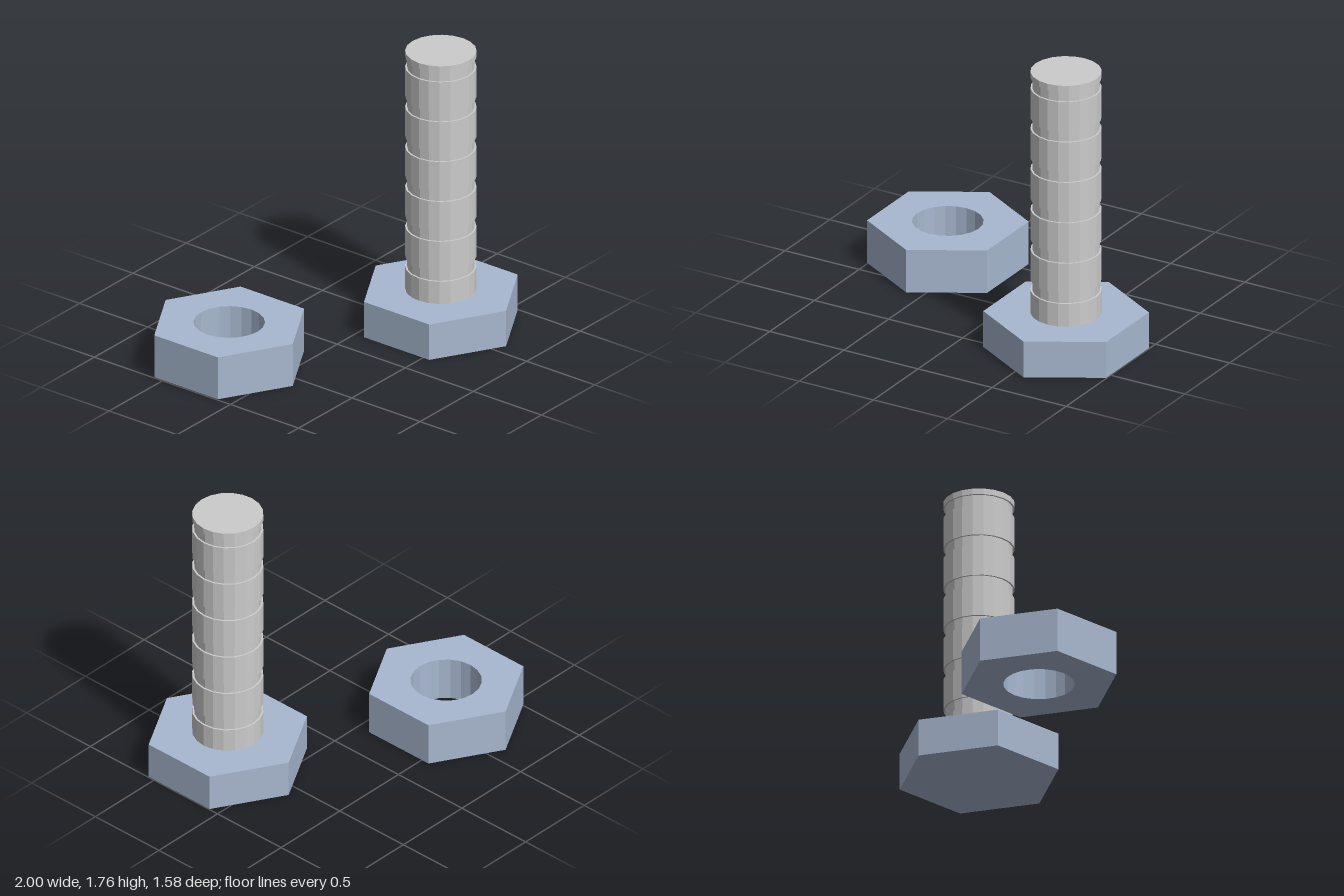
import * as THREE from 'three';

const SIDES = 20;

// Corner points of a regular polygon with one corner on the +y axis
function ring(radius, sides) {
  return Array.from({ length: sides }, (_, i) => {
    const a = Math.PI / 2 + (i / sides) * Math.PI * 2;
    return new THREE.Vector2(Math.cos(a) * radius, Math.sin(a) * radius);
  });
}

export function createModel() {
  const model = new THREE.Group();
  model.name = 'boltAndNut';
  const blueSteel = new THREE.MeshStandardMaterial({ color: 0xa8b8d0, flatShading: true });
  const grey = new THREE.MeshStandardMaterial({ color: 0xcccccc, flatShading: true });

  // Bolt: hexagonal head standing on the ground
  const bolt = new THREE.Group();
  bolt.name = 'bolt';
  bolt.position.set(0.581, 0, 0.306);
  const headHeight = 0.228;
  const head = new THREE.Mesh(new THREE.CylinderGeometry(0.479, 0.479, headHeight, 6), blueSteel);
  head.name = 'boltHead';
  head.position.y = headHeight / 2;

  // Shank: a turned profile with six evenly spaced shallow grooves
  const outer = 0.207, inner = 0.196, top = 1.76;
  const profile = [new THREE.Vector2(outer, headHeight - 0.01)];
  for (let i = 0; i < 6; i++) {
    const y = 0.372 + i * 0.257;
    profile.push(
      new THREE.Vector2(outer, y),
      new THREE.Vector2(inner, y),
      new THREE.Vector2(inner, y + 0.067),
      new THREE.Vector2(outer, y + 0.067)
    );
  }
  profile.push(new THREE.Vector2(outer, top), new THREE.Vector2(0, top));
  const shank = new THREE.Mesh(new THREE.LatheGeometry(profile, SIDES), grey);
  shank.name = 'boltShank';
  bolt.add(head, shank);

  // Nut: hexagon with a round through-hole
  const outline = new THREE.Shape(ring(0.467, 6));
  outline.holes.push(new THREE.Path(ring(0.207, SIDES)));
  const nutGeometry = new THREE.ExtrudeGeometry(outline, { depth: 0.27, bevelEnabled: false });
  nutGeometry.rotateX(-Math.PI / 2);
  const nut = new THREE.Mesh(nutGeometry, blueSteel);
  nut.name = 'nut';
  nut.position.set(-0.597, 0.006, -0.325);

  model.add(bolt, nut);
  return model;
}
